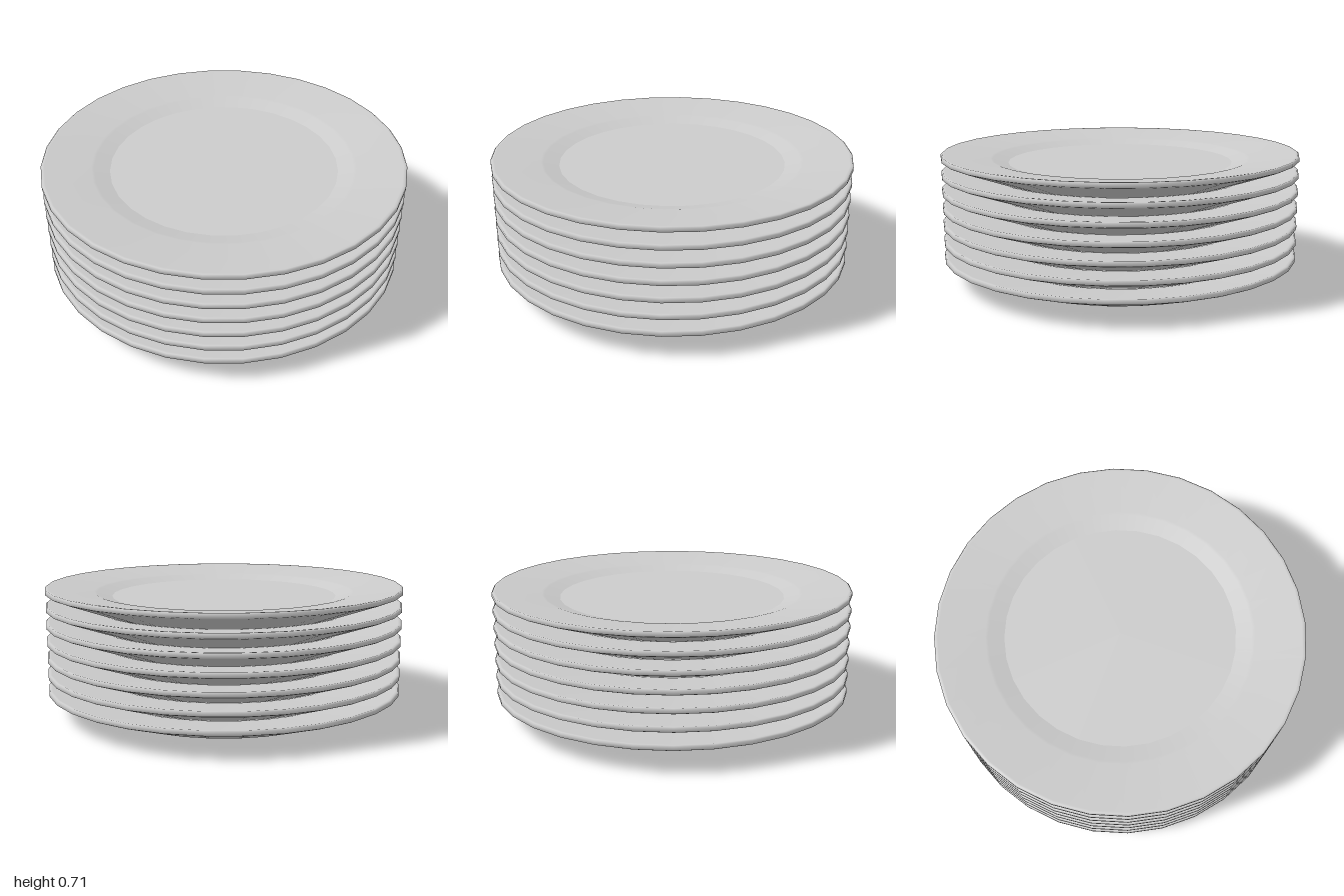
import * as THREE from 'three';

const PLATES = 7;
const SPACING = 0.0932;
const SIDES = 32;

// Closed half-section of a plate, from the base centre round to the floor centre.
// The third value marks a corner that stays sharp.
const PROFILE = [
  [0, 0], [0.63, 0, true],                            // flat base
  [0.71, 0.024], [0.99, 0.125], [1, 0.13],            // sloping underside
  [1, 0.148], [0.993, 0.155], [0.98, 0.154],          // rounded lip
  [0.73, 0.122], [0.715, 0.118],                      // wide rim
  [0.63, 0.095, true], [0, 0.095],                    // well and flat floor
];

function plateGeometry() {
  // A doubled point splits the normals, which keeps that edge crisp
  const points = PROFILE.flatMap(([r, y, sharp]) => {
    const p = new THREE.Vector2(r, y);
    return sharp ? [p, p.clone()] : [p];
  });
  return new THREE.LatheGeometry(points, SIDES);
}

export function createModel() {
  const group = new THREE.Group();
  group.name = 'plateStack';
  const material = new THREE.MeshStandardMaterial({ color: 0xcccccc });
  const geometry = plateGeometry();

  // Identical plates, each resting on the floor of the one below
  for (let i = 0; i < PLATES; i++) {
    const plate = new THREE.Mesh(geometry, material);
    plate.name = `plate${i + 1}`;
    plate.position.y = i * SPACING;
    group.add(plate);
  }
  return group;
}
